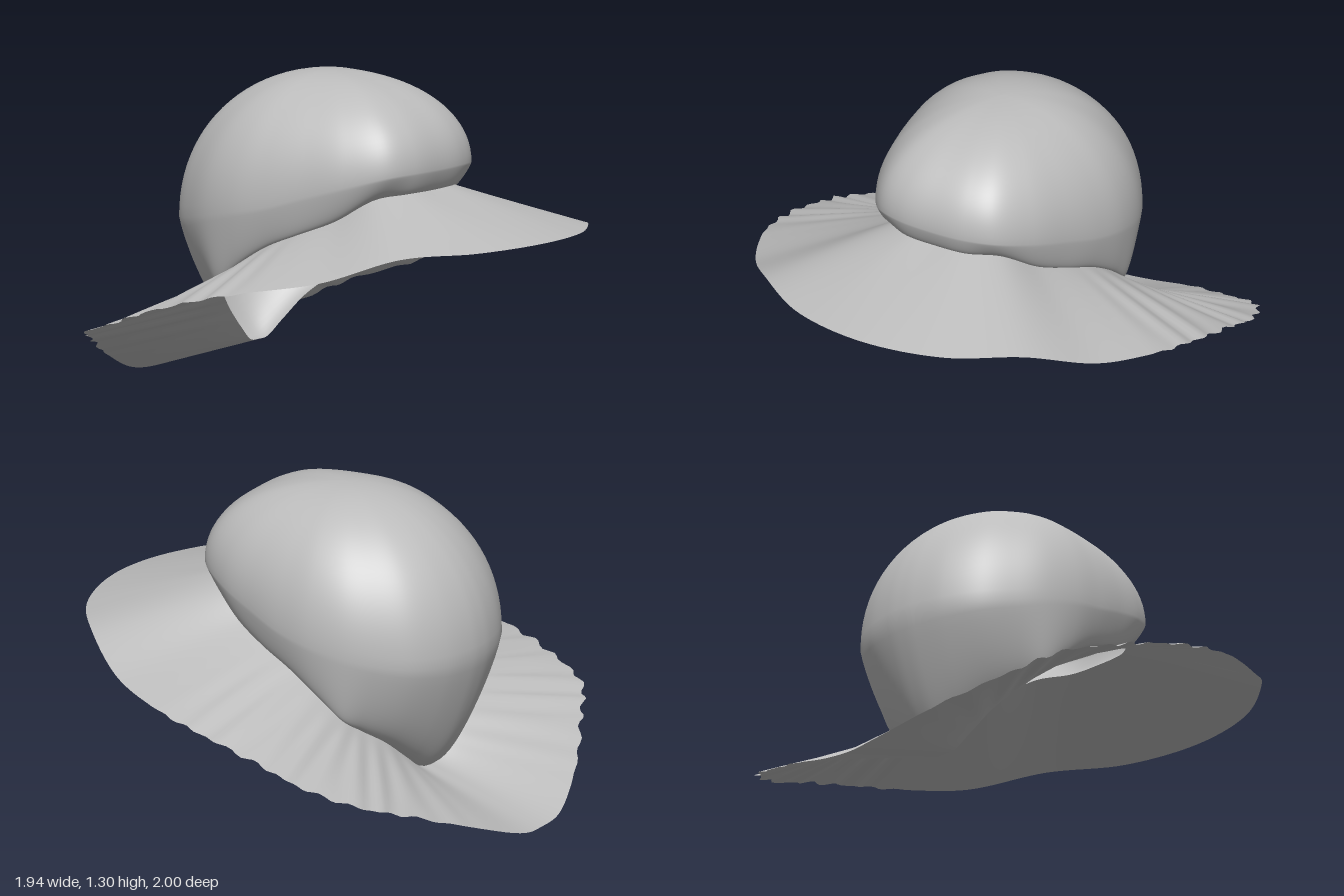
import * as THREE from 'three';

// Half outlines from front centre round the model's left to back centre: [x, y, z]
const RIM = [[0, .7, 1], [.34, .695, .93], [.6, .685, .75], [.8, .59, .5], [.92, .54, .23], [.955, .49, 0],
  [.955, .42, -.25], [.94, .35, -.45], [.85, .28, -.66], [.67, .21, -.77], [.4, .105, -.91], [.13, .012, -.998], [0, 0, -1]];
const NECK = [[0, .86, .43], [.14, .86, .42], [.25, .84, .33], [.34, .75, .2], [.4, .69, .06], [.43, .63, -.08],
  [.44, .54, -.22], [.42, .45, -.32], [.34, .39, -.36], [.24, .32, -.41], [.13, .23, -.44], [.05, .17, -.455], [0, .165, -.46]];
const BULGE = [[0, .95, .48], [.15, .95, .47], [.27, .94, .42], [.37, .9, .28], [.435, .85, .11], [.48, .8, -.05],
  [.5, .77, -.2], [.48, .74, -.35], [.42, .71, -.48], [.33, .69, -.6], [.2, .68, -.68], [.07, .68, -.715], [0, .68, -.72]];
const APEX = new THREE.Vector3(0, 1.3, -.08);
const COLUMNS = 240;

// Mirrors a half outline into a closed smooth loop
function loopCurve(half) {
  const left = half.map(p => new THREE.Vector3(...p));
  const right = left.slice(1, -1).reverse().map(p => new THREE.Vector3(-p.x, p.y, p.z));
  return new THREE.CatmullRomCurve3([...left, ...right], true);
}

// Skins rings of points, closed round the loop; pointAt(u, v) with v from inside to outside
function skin(rows, pointAt) {
  const positions = [], index = [];
  for (let j = 0; j <= rows; j++) {
    for (let i = 0; i < COLUMNS; i++) {
      const p = pointAt(i / COLUMNS, j / rows);
      positions.push(p.x, p.y, p.z);
      if (j === rows) continue;
      const a = j * COLUMNS + i, c = j * COLUMNS + (i + 1) % COLUMNS;
      index.push(a, a + COLUMNS, c, c, a + COLUMNS, c + COLUMNS);
    }
  }
  const geometry = new THREE.BufferGeometry();
  geometry.setAttribute('position', new THREE.Float32BufferAttribute(positions, 3));
  geometry.setIndex(index);
  geometry.computeVertexNormals();
  return geometry;
}

export function createModel() {
  const group = new THREE.Group();
  group.name = 'sunHat';
  const felt = new THREE.MeshStandardMaterial({ color: 0xbcbcbc, side: THREE.DoubleSide });
  felt.name = 'greyFelt';
  const rim = loopCurve(RIM), neck = loopCurve(NECK), bulge = loopCurve(BULGE);

  // Crown: rounded dome down to the bulge, then tucked in to the neck opening
  const crownPoint = (u, v) => {
    const m = bulge.getPoint(u), n = neck.getPoint(u);
    if (v <= .6) {
      const t = v / .6 * Math.PI / 2;
      const out = Math.sin(t) ** .95, up = Math.max(0, Math.cos(t)) ** .95;
      return new THREE.Vector3(
        APEX.x + (m.x - APEX.x) * out,
        m.y + (APEX.y - m.y) * up,
        APEX.z + (m.z - APEX.z) * out);
    }
    const s = (v - .6) / .4 * Math.PI / 2;
    const tuck = (1 - Math.cos(s)) ** .6;
    return new THREE.Vector3(
      m.x + (n.x - m.x) * tuck,
      m.y + (n.y - m.y) * Math.sin(s),
      m.z + (n.z - m.z) * tuck);
  };
  const crown = new THREE.Mesh(skin(40, crownPoint), felt);
  crown.name = 'crown';

  // Brim: sloping sheet from neck to rim, pleated and ragged along the sides
  const brimPoint = (u, v) => {
    const station = 24 * Math.min(u, 1 - u);
    const ragged = THREE.MathUtils.smoothstep(station, 3.5, 5) * (1 - THREE.MathUtils.smoothstep(station, 9, 10.5));
    const p = neck.getPoint(u).lerp(rim.getPoint(u), v);
    const grow = 1 + ragged * .011 * v * v * Math.sin(station * Math.PI * 4.3);
    p.x *= grow;
    p.z *= grow;
    p.y += ragged * .007 * Math.sin(v * Math.PI * .8) * Math.sin(station * Math.PI * 3.1);
    return p;
  };
  const brim = new THREE.Mesh(skin(12, brimPoint), felt);
  brim.name = 'brim';

  group.add(crown, brim);
  return group;
}
